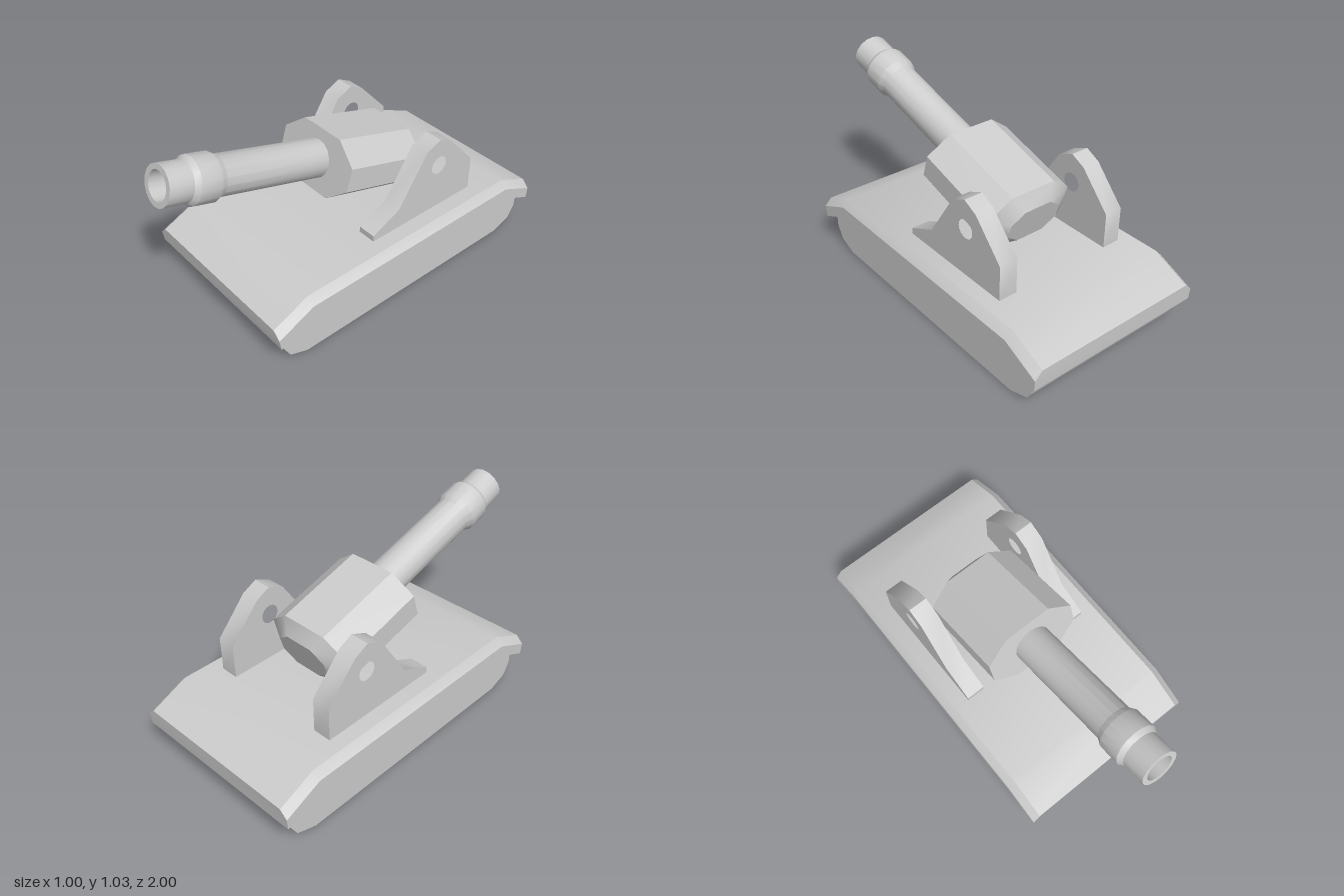
import * as THREE from 'three';
import { toCreasedNormals } from 'three/addons/utils/BufferGeometryUtils.js';

const material = new THREE.MeshStandardMaterial({ color: 0xcccccc });

function addMesh(parent, name, geometry, crease = 0.5) {
  const mesh = new THREE.Mesh(toCreasedNormals(geometry, crease), material);
  mesh.name = name;
  parent.add(mesh);
  return mesh;
}

// Side profile given as [z, y] points, extruded across x and centred
function sideExtrude(points, width, hole) {
  const shape = new THREE.Shape(points.map(([z, y]) => new THREE.Vector2(z, y)));
  if (hole) shape.holes.push(new THREE.Path().absarc(hole.z, hole.y, hole.r, 0, Math.PI * 2, true));
  const geometry = new THREE.ExtrudeGeometry(shape, { depth: width, bevelEnabled: false, curveSegments: 8 });
  return geometry.translate(0, 0, -width / 2).rotateY(-Math.PI / 2);
}

// Joins convex counter-clockwise [x, y, z] sections, ordered from back to front
function loft(sections) {
  const n = sections[0].length;
  const index = [];
  for (let s = 0; s < sections.length - 1; s++) {
    for (let i = 0; i < n; i++) {
      const j = (i + 1) % n, a = s * n, b = a + n;
      index.push(a + i, a + j, b + j, a + i, b + j, b + i);
    }
  }
  const last = (sections.length - 1) * n;
  for (let i = 1; i < n - 1; i++) {
    index.push(0, i + 1, i, last, last + i, last + i + 1);
  }
  const geometry = new THREE.BufferGeometry();
  geometry.setAttribute('position', new THREE.Float32BufferAttribute(sections.flat(2), 3));
  geometry.setIndex(index);
  return geometry;
}

export function createModel() {
  const model = new THREE.Group();
  model.name = 'selfPropelledGun';

  // Lower hull with rounded ends
  addMesh(model, 'lowerHull', sideExtrude([
    [0.55, 0], [0.65, 0.04], [0.69, 0.11], [0.69, 0.17], [0.53, 0.25],
    [-0.79, 0.25], [-0.95, 0.17], [-0.95, 0.11], [-0.91, 0.04], [-0.80, 0],
  ], 0.92), 0.7);

  // Deck plate with drooping ends and chamfered sides
  const deckSection = (zTop, zBottom, top) => [
    [-0.5, top - 0.1, zBottom], [0.5, top - 0.1, zBottom], [0.5, top - 0.04, zTop],
    [0.46, top, zTop], [-0.46, top, zTop], [-0.5, top - 0.04, zTop],
  ];
  addMesh(model, 'deck', loft([
    deckSection(-1.0, -0.995, 0.267), deckSection(-0.80, -0.79, 0.357),
    deckSection(0.54, 0.53, 0.357), deckSection(0.74, 0.73, 0.267),
  ]));

  // Pair of pierced side brackets
  const bracket = sideExtrude([
    [0.06, 0.355], [0.06, 0.39], [-0.11, 0.47], [-0.28, 0.73], [-0.37, 0.77],
    [-0.45, 0.73], [-0.62, 0.545], [-0.62, 0.355],
  ].reverse(), 0.1, { z: -0.375, y: 0.615, r: 0.05 });
  for (const [name, side] of [['leftBracket', 1], ['rightBracket', -1]]) {
    addMesh(model, name, bracket, 0.8).position.x = side * 0.33;
  }

  // Raised gun, with its origin at the centre of the breech front
  const gun = new THREE.Group();
  gun.name = 'gun';
  gun.position.set(0, 0.68, 0.11);
  gun.rotation.x = -0.29;
  model.add(gun);

  // Eight-sided breech block with a bevelled rear
  const octagon = (z, k) => [
    [-0.13, -0.16], [0.13, -0.16], [0.253, -0.062], [0.253, 0.062],
    [0.13, 0.16], [-0.13, 0.16], [-0.253, 0.062], [-0.253, -0.062],
  ].map(([x, y]) => [x * k, y * k, z]);
  addMesh(gun, 'breech', loft([octagon(-0.55, 0.6), octagon(-0.49, 1), octagon(0, 1)]));

  // Hollow barrel with a thicker sleeve near the muzzle
  const profile = [
    [0.1, -0.02], [0.1, 0.605], [0.118, 0.64], [0.118, 0.75], [0.1, 0.775],
    [0.1, 0.9], [0.072, 0.9], [0.072, 0.2], [0, 0.2],
  ].map(([r, y]) => new THREE.Vector2(r, y));
  addMesh(gun, 'barrel', new THREE.LatheGeometry(profile, 16).rotateX(Math.PI / 2));

  return model;
}
